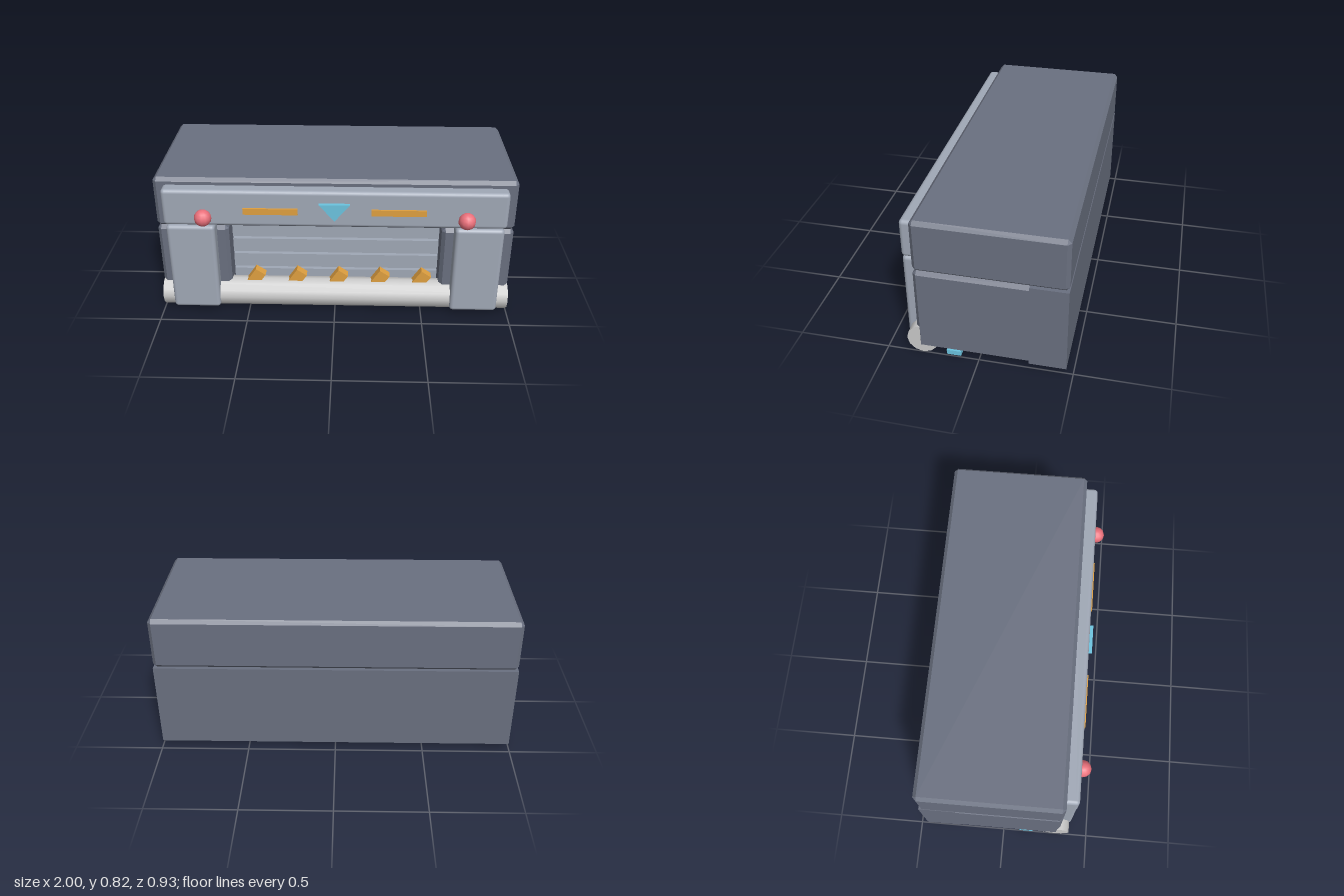
import * as THREE from 'three';
import { ConvexGeometry } from 'three/addons/geometries/ConvexGeometry.js';
import { RoundedBoxGeometry } from 'three/addons/geometries/RoundedBoxGeometry.js';

const mat = (color) => new THREE.MeshStandardMaterial({ color });

export function createModel() {
  const group = new THREE.Group();
  const dark = mat(0x6a7080), panel = mat(0xa0a8b6), pale = mat(0xf0f0f0);
  const amber = mat(0xe0a040), blue = mat(0x6cc4e0), red = mat(0xec717c);

  function add(name, geometry, material, x = 0, y = 0, z = 0) {
    const mesh = new THREE.Mesh(geometry, material);
    mesh.name = name;
    mesh.position.set(x, y, z);
    group.add(mesh);
    return mesh;
  }

  // Place a box-like shape by its minimum and maximum corners
  function span(name, make, material, [x0, y0, z0], [x1, y1, z1]) {
    return add(name, make(x1 - x0, y1 - y0, z1 - z0), material, (x0 + x1) / 2, (y0 + y1) / 2, (z0 + z1) / 2);
  }
  const box = (w, h, d) => new THREE.BoxGeometry(w, h, d);
  const rounded = (w, h, d) => new RoundedBoxGeometry(w, h, d, 3, 0.022);

  // Box with flat chamfers on every edge
  function chamfered(w, h, d, c = 0.02) {
    const points = [];
    const half = [w / 2, h / 2, d / 2];
    for (const sx of [-1, 1]) for (const sy of [-1, 1]) for (const sz of [-1, 1]) {
      for (let axis = 0; axis < 3; axis++) {
        const p = half.map((v, i) => (i === axis ? v : v - c));
        points.push(new THREE.Vector3(p[0] * sx, p[1] * sy, p[2] * sz));
      }
    }
    return new ConvexGeometry(points);
  }

  // Hollow body: top block, back block and two side blocks around the bay
  span('topBlock', chamfered, dark, [-1, 0.527, -0.463], [1, 0.825, 0.335]);
  span('backBlock', box, dark, [-1, 0.027, -0.463], [1, 0.525, -0.265]);
  for (const [side, s] of [['left', 1], ['right', -1]]) {
    const x0 = Math.min(s * 0.6, s), x1 = Math.max(s * 0.6, s);
    span(side + 'SideBlock', chamfered, dark, [x0, 0.027, -0.285], [x1, 0.527, 0.335]);
    // Front pillar
    add(side + 'Pillar', rounded(0.27, 0.54, 0.13), panel, s * 0.8, 0.295, 0.34);
    // Round lamp and light strip on the header
    add(side + 'Lamp', new THREE.SphereGeometry(0.048, 12, 8), red, s * 0.72, 0.628, 0.417);
    add(side + 'LightStrip', box(0.3, 0.036, 0.03), amber, s * 0.35, 0.668, 0.4);
  }

  // Header panel over the opening
  span('headerPanel', rounded, panel, [-0.945, 0.57, 0.28], [0.945, 0.787, 0.404]);

  // Downward triangle badge
  const triangle = new THREE.Shape([[-0.085, 0.72], [0, 0.62], [0.085, 0.72]].map((p) => new THREE.Vector2(...p)));
  add('triangleMarker', new THREE.ExtrudeGeometry(triangle, { depth: 0.04, bevelEnabled: false }), blue, 0, 0, 0.385);

  // Shutter slats with open gaps
  for (let i = 0; i < 5; i++) {
    const y0 = 0.085 + i * 0.102;
    span('shutterSlat', box, panel, [-0.6, y0, 0.17], [0.6, Math.min(y0 + 0.087, 0.53), 0.205]);
  }

  // Front roller
  const roller = add('frontRoller', new THREE.CylinderGeometry(0.085, 0.085, 1.998, 12), pale, 0, 0.085, 0.305);
  roller.rotation.z = Math.PI / 2;

  // Tilted teeth along the roller
  for (let i = 0; i < 5; i++) {
    const tooth = add('rollerTooth', box(0.068, 0.1, 0.05), amber, -0.46 + i * 0.24, 0.18, 0.3);
    tooth.rotation.z = -0.6;
  }

  // Strip under the body
  span('undersideStrip', box, blue, [-1, 0.008, 0.097], [1, 0.036, 0.175]);

  return group;
}
